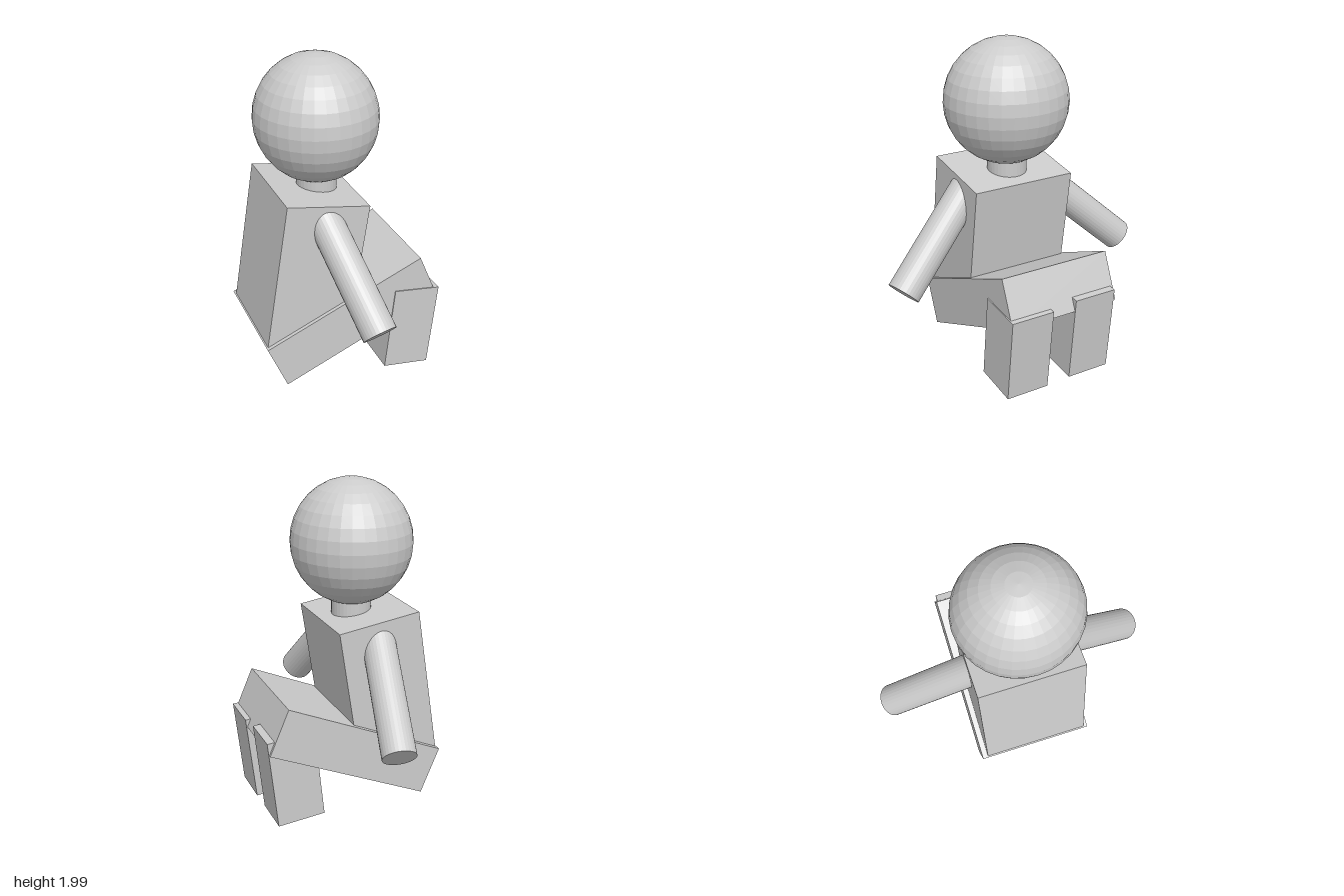
import * as THREE from 'three';

const material = new THREE.MeshStandardMaterial({ color: 0xcccccc, flatShading: true });

function add(group, name, geometry, [x, y, z]) {
  const mesh = new THREE.Mesh(geometry, material);
  mesh.name = name;
  mesh.position.set(x, y, z);
  group.add(mesh);
  return mesh;
}

// Box tilted about the z axis
function addBox(group, name, size, centre, tilt) {
  add(group, name, new THREE.BoxGeometry(...size), centre).rotation.z = tilt;
}

// Cylinder running between two points
function addRod(group, name, radius, from, to) {
  const a = new THREE.Vector3(...from), b = new THREE.Vector3(...to);
  const axis = b.clone().sub(a);
  const rod = add(group, name, new THREE.CylinderGeometry(radius, radius, axis.length(), 32),
    a.add(b).multiplyScalar(0.5).toArray());
  rod.quaternion.setFromUnitVectors(new THREE.Vector3(0, 1, 0), axis.normalize());
}

export function createModel() {
  const figure = new THREE.Group();
  figure.name = 'seatedFigure';

  // Head, slightly narrower in x
  add(figure, 'head', new THREE.SphereGeometry(0.378, 32, 16), [-0.115, 1.622, 0.03]).scale.x = 0.966;
  addRod(figure, 'neck', 0.12, [-0.115, 1.12, 0.03], [-0.115, 1.36, 0.03]);

  // Leaning torso on a single sloping block for the thighs
  addBox(figure, 'torso', [0.507, 0.905, 0.655], [-0.228, 0.755, 0.027], -0.155);
  addBox(figure, 'thighs', [1.062, 0.298, 0.715], [-0.01, 0.418, 0.022], 0.405);

  // Lower legs
  addBox(figure, 'lowerLegFront', [0.292, 0.533, 0.275], [0.373, 0.289, 0.248], -0.112);
  addBox(figure, 'lowerLegBack', [0.292, 0.55, 0.275], [0.373, 0.307, -0.182], -0.108);

  // Arms spread down and outward
  addRod(figure, 'armFront', 0.102, [-0.167, 1.11, 0.27], [-0.027, 0.583, 0.787]);
  addRod(figure, 'armBack', 0.1, [-0.183, 1.1, -0.21], [-0.066, 0.58, -0.785]);

  return figure;
}
